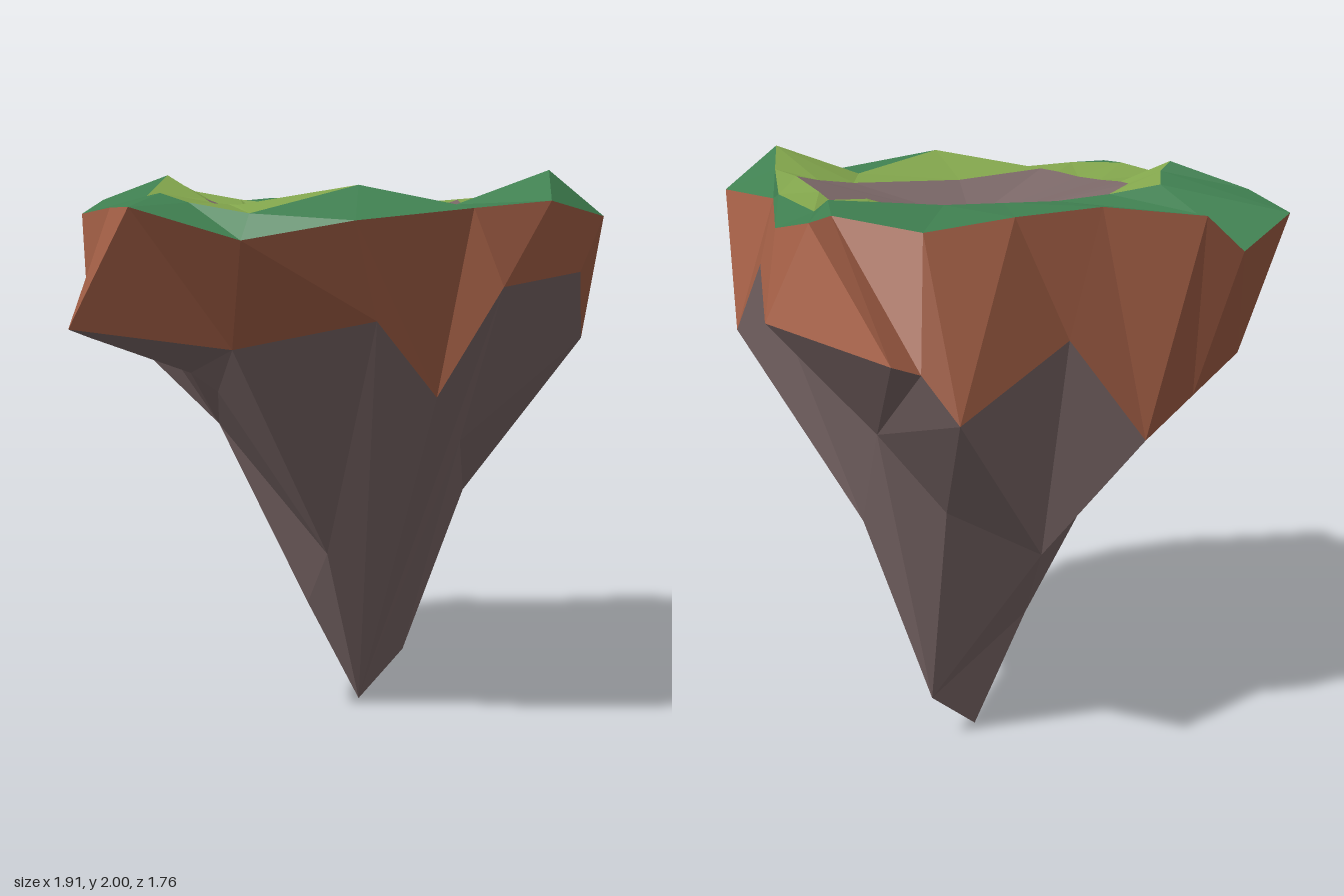
import * as THREE from 'three';

const flat = (name, color) => {
  const m = new THREE.MeshStandardMaterial({ color, flatShading: true });
  m.name = name;
  return m;
};

// Cross-section loops, each point [x, y, z], counter-clockwise from above,
// starting at the front right corner.
const rim = [
  [-.8, 1.89, .66], [-.48, 1.79, .79], [-.14, 1.85, .87], [.24, 1.885, .875], [.52, 1.905, .82],
  [.775, 1.85, .655], [.72, 1.85, .3], [.815, 1.785, .02], [.81, 1.835, -.28], [.81, 1.88, -.48],
  [.6, 1.84, -.69], [.29, 1.87, -.69], [0, 1.89, -.725], [-.3, 1.86, -.86], [-.44, 1.74, -.865],
  [-.68, 1.84, -.77], [-.7, 1.89, -.5], [-.835, 1.85, -.1], [-.8, 1.88, .3],
];
const ridge = [
  [-.59, 1.9, .55], [-.44, 1.87, .74], [-.08, 1.955, .7], [.28, 1.89, .6], [.58, 2, .65],
  [.64, 1.93, .5], [.69, 1.86, .33], [.67, 1.83, .04], [.73, 1.9, -.245], [.6, 1.89, -.265],
  [.35, 1.87, -.3], [.15, 1.87, -.335], [-.03, 1.87, -.365], [-.2, 1.89, -.42], [-.36, 1.92, -.48],
  [-.44, 1.95, -.35], [-.49, 1.98, -.33], [-.61, 1.91, -.09], [-.62, 1.925, .22],
];
const hollow = [
  [-.415, 1.89, .33], [-.415, 1.89, .47], [-.08, 1.86, .49], [.35, 1.87, .475], [.5, 1.89, .44],
  [.59, 1.91, .42], [.57, 1.87, .25], [.55, 1.82, .08], [.57, 1.89, -.185], [.47, 1.86, -.17],
  [.37, 1.83, -.155], [.18, 1.77, -.165], [-.01, 1.71, -.175], [-.2, 1.8, -.21], [-.3, 1.86, -.225],
  [-.38, 1.9, -.24], [-.39, 1.9, -.17], [-.405, 1.89, 0], [-.415, 1.885, .18],
];
const soilEdge = [
  [-.96, 1.5, .43], [-.45, 1.43, .53], [-.03, 1.53, .74], [.2, 1.27, .66], [.34, 1.64, .88],
  [.69, 1.67, .67], [.88, 1.41, .26], [.85, 1.66, .08], [.95, 1.52, -.24], [.77, 1.47, -.83],
  [.66, 1.43, -.8], [.57, 1.28, -.88], [.1, 1.47, -.7], [-.17, 1.12, -.73], [-.38, 1.24, -.68],
  [-.58, 1.36, -.64], [-.62, 1.55, -.45], [-.75, 1.6, -.15], [-.86, 1.45, .2],
];

// Facets between two loops, the upper (or inner) one first.
function band(upper, lower) {
  const out = [], n = upper.length;
  for (let i = 0; i < n; i++) {
    const j = (i + 1) % n;
    out.push(upper[i], lower[i], lower[j], upper[i], lower[j], upper[j]);
  }
  return out;
}

// Facets that share one corner, along a strip of points.
const fan = (hub, strip) => strip.slice(1).flatMap((p, i) => [hub, strip[i], p]);

// The hanging rock: a few bold facets between the soil edge, some knees and the tip.
function rockFacets() {
  const s = soilEdge;
  const tip = [.2, 0, -.205];
  const frontKnee = [.38, 1.08, .39], leftKnee = [.6, .8, -.17], spur = [.4, .16, -.28];
  const backShoulder = [.66, 1.17, -.45], backKnee = [.45, .9, -.52], backDent = [.09, .7, -.5];
  const backFoot = [0, .39, -.21], rightKnee = [-.3, 1.06, -.37], rightFoot = [-.02, .65, .13];
  const wingFront = [-.42, 1.25, .17], wingRoot = [-.5, 1.31, .1];
  return [
    // front
    ...fan(s[1], [wingFront, rightFoot, s[2]]),
    ...fan(tip, [s[4], s[3], s[2], rightFoot, backFoot, spur, frontKnee, s[4]]),
    ...fan(frontKnee, [tip, spur, leftKnee, s[6], s[5], s[4]]),
    // left side
    ...fan(s[7], [s[6], leftKnee, backShoulder, s[8]]),
    // back
    ...fan(backShoulder, [leftKnee, spur, backKnee, s[11], s[10], s[9], s[8]]),
    ...fan(backDent, [s[13], s[12], s[11], backKnee, spur, backFoot, rightKnee, s[13]]),
    // right side and the underside of the wing
    ...fan(rightKnee, [backFoot, rightFoot, wingFront, wingRoot, s[16], s[15], s[14], s[13]]),
    ...fan(wingRoot, [wingFront, s[1], s[0], s[18], s[17], s[16]]),
  ];
}

function facets(name, points, material) {
  const g = new THREE.BufferGeometry();
  g.setAttribute('position', new THREE.Float32BufferAttribute(points.flat(), 3));
  g.computeVertexNormals();
  const mesh = new THREE.Mesh(g, material);
  mesh.name = name;
  return mesh;
}

export function createModel() {
  const grass = flat('dark grass', 0x3f7f50);
  const meadow = flat('light grass', 0x82a54c);
  const soil = flat('soil', 0xa25e45);
  const stone = flat('stone', 0x7a6767);

  const island = new THREE.Group();
  island.name = 'floatingIsland';
  island.add(
    facets('grassRim', band(ridge, rim), grass),
    facets('meadowSlope', band(hollow, ridge), meadow),
    facets('stoneHollow', fan([-.01, 1.74, .24], [...hollow, hollow[0]]), stone),
    facets('soilCliff', band(rim, soilEdge), soil),
    facets('rockBase', rockFacets(), stone),
  );
  return island;
}
